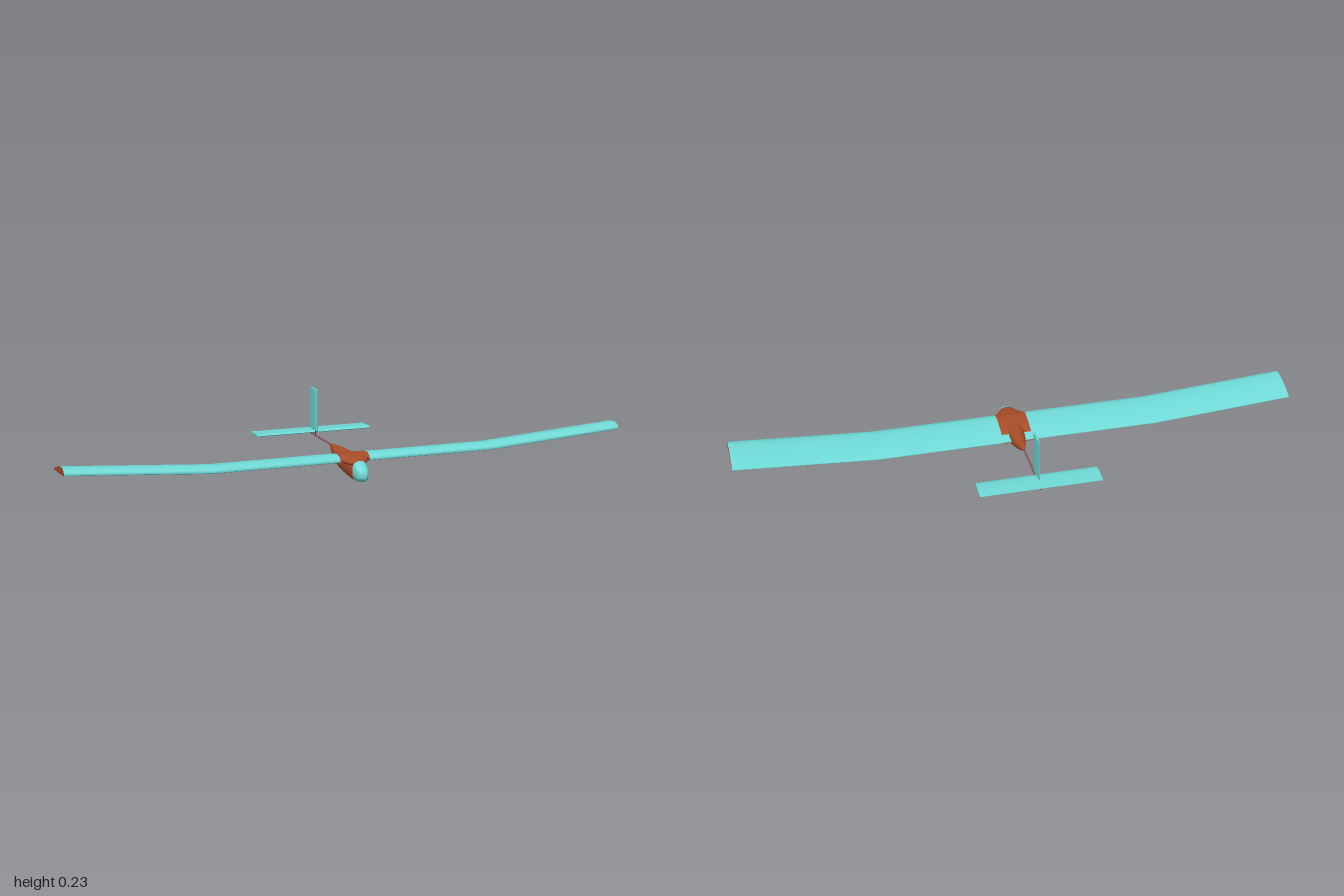
import * as THREE from 'three';
import { toCreasedNormals } from 'three/addons/utils/BufferGeometryUtils.js';

const paint = (name, color) => {
  const m = new THREE.MeshStandardMaterial({ color });
  m.name = name;
  return m;
};

// Skin over a list of rings (ordered along +x or +z), group 0 = skin, group 1 = end caps
function loft(rings, crease = 0.7) {
  const n = rings[0].length, pos = rings.flat(2), skin = [], caps = [];
  for (let i = 0; i < rings.length - 1; i++) {
    for (let j = 0; j < n; j++) {
      const a = i * n + j, b = i * n + (j + 1) % n;
      skin.push(a, b, a + n, b, b + n, a + n);
    }
  }
  [0, rings.length - 1].forEach((r, end) => {
    const c = pos.length / 3;
    for (let k = 0; k < 3; k++) pos.push(rings[r].reduce((s, p) => s + p[k], 0) / n);
    for (let j = 0; j < n; j++) {
      const a = r * n + j, b = r * n + (j + 1) % n;
      caps.push(...(end ? [c, a, b] : [c, b, a]));
    }
  });
  const g = new THREE.BufferGeometry();
  g.setAttribute('position', new THREE.Float32BufferAttribute(pos, 3));
  g.setIndex([...skin, ...caps]);
  g.addGroup(0, skin.length, 0);
  g.addGroup(skin.length, caps.length, 1);
  return toCreasedNormals(g, crease);
}

// Rounded-box body section at z
function bodyRing([z, bottom, top, half], power = 2.5, n = 32) {
  const round = (v) => Math.sign(v) * Math.abs(v) ** (2 / power);
  return Array.from({ length: n }, (_, i) => {
    const a = (i / n) * Math.PI * 2;
    return [half * round(Math.cos(a)), (bottom + top) / 2 + (top - bottom) / 2 * round(Math.sin(a)), z];
  });
}

// Wing section as [z, y]: trailing edge, over the top to the nose, back underneath
const wingCurve = new THREE.SplineCurve([
  [0.05, 0.050], [0.08, 0.061], [0.115, 0.072], [0.15, 0.079], [0.175, 0.08],
  [0.193, 0.074], [0.2, 0.064], [0.195, 0.057], [0.16, 0.054], [0.1, 0.050], [0.05, 0.048],
].map((p) => new THREE.Vector2(...p)));
const wingRing = (x, lift = 0, grow = 1) => wingCurve.getPoints(30).map((p) =>
  [x, 0.064 + (p.y - 0.064) * grow + lift, 0.125 + (p.x - 0.125) * (1 + (grow - 1) * 0.15)]);

// Thin symmetric section for the tail: [chord position from the rear, half thickness]
const tailProfile = [[0, 0.0004], [0.3, 0.0025], [0.6, 0.0045], [0.82, 0.0045], [0.95, 0.0028], [1, 0],
  [0.95, -0.0028], [0.82, -0.0045], [0.6, -0.0045], [0.3, -0.0025], [0, -0.0004]];
const tailRing = (x, rear, chord) => tailProfile.map(([t, h]) => [x, h, rear + t * chord]);

export function createModel() {
  const model = new THREE.Group();
  model.name = 'glider';
  const teal = paint('teal', 0x6ed8d5);
  const rust = paint('rust', 0xa84c28);
  const mauve = paint('mauve', 0x8c5a62);
  const dark = paint('dark', 0x33383c);
  const add = (name, geometry, material, x = 0, y = 0, z = 0) => {
    const mesh = new THREE.Mesh(geometry, material);
    mesh.name = name;
    mesh.position.set(x, y, z);
    model.add(mesh);
    return mesh;
  };

  // Fuselage pod
  const pod = [
    [-0.036, 0.062, 0.071, 0.004], [-0.015, 0.051, 0.073, 0.010], [0.015, 0.038, 0.075, 0.017],
    [0.05, 0.027, 0.077, 0.025], [0.1, 0.016, 0.077, 0.032], [0.15, 0.008, 0.077, 0.034],
    [0.2, 0.002, 0.078, 0.033], [0.225, 0.0005, 0.075, 0.030], [0.243, 0, 0.070, 0.027],
  ];
  add('fuselage', loft(pod.map((r) => bodyRing(r))), [rust, rust]);

  // Nose cap
  const nose = [[0.243, 0, 0.07, 0.027], [0.256, 0.001, 0.065, 0.025], [0.269, 0.003, 0.057, 0.022],
    [0.28, 0.007, 0.047, 0.017], [0.287, 0.012, 0.037, 0.011], [0.291, 0.02, 0.027, 0.003]];
  add('noseCap', loft(nose.map((r) => bodyRing(r)), 1.1), [teal, teal]);

  // Wing with raised outer panels and rust tips
  add('wing', loft([wingRing(-1, 0.035), wingRing(-0.5), wingRing(0.5), wingRing(1, 0.035)]), [teal, rust]);

  // Saddle over the wing centre and its front fairing
  add('wingSaddle', loft([wingRing(-0.053, 0, 1.1), wingRing(0.053, 0, 1.1)]), [rust, rust]);
  const fairing = [[0.18, 0.052, 0.078, 0.053], [0.2, 0.05, 0.078, 0.049],
    [0.22, 0.05, 0.075, 0.036], [0.243, 0.052, 0.069, 0.022]];
  add('saddleFairing', loft(fairing.map((r) => bodyRing(r))), [rust, rust]);

  // Tail boom
  add('tailBoom', new THREE.CylinderGeometry(0.0035, 0.0035, 0.25, 16).rotateX(Math.PI / 2), mauve, 0, 0.067, -0.154);

  // Tailplane and its mount
  add('tailplane', loft([tailRing(-0.213, -0.29, 0.085), tailRing(0.213, -0.29, 0.085)]), [teal, teal], 0, 0.0765, 0);
  add('tailplaneMount', new THREE.BoxGeometry(0.004, 0.008, 0.03), dark, 0, 0.071, -0.235);

  // Fin: a tail section stood upright on a thin post
  const fin = loft([tailRing(0, -0.257, 0.084), tailRing(0.149, -0.257, 0.084)]).rotateZ(Math.PI / 2);
  add('fin', fin, [teal, teal], 0, 0.085, 0);
  add('finPost', new THREE.CylinderGeometry(0.0016, 0.0016, 0.024, 12), dark, 0, 0.077, -0.194);

  // Belly skid
  add('bellySkid', new THREE.BoxGeometry(0.008, 0.004, 0.03).rotateX(0.2), rust, 0, 0.0195, 0.088);

  return model;
}
